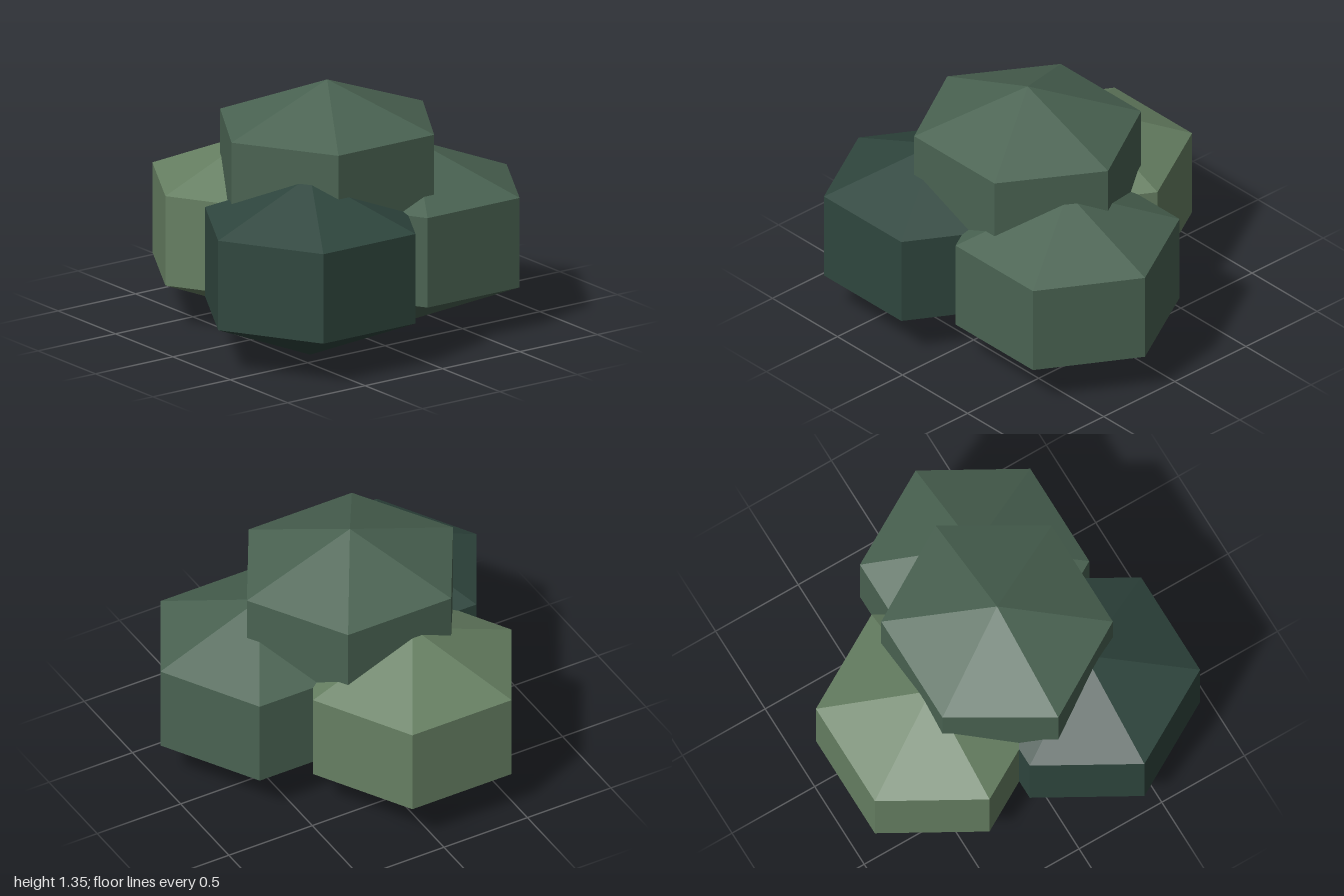
import * as THREE from 'three';

// Low-poly leaf clump: a six-sided, three-ring ball, squashed in height.
function clump(name, color, [x, y, z], [rx, ry, rz]) {
  const geometry = new THREE.SphereGeometry(1, 6, 3);
  // Ring radius of the ball is sin(60 deg), so divide to get the wanted hexagon size.
  const ring = Math.sin(Math.PI / 3);
  geometry.scale(rx / ring, ry, rz / ring);
  const mesh = new THREE.Mesh(
    geometry.toNonIndexed(),
    new THREE.MeshStandardMaterial({ color, flatShading: true })
  );
  mesh.geometry.computeVertexNormals();
  mesh.name = name;
  mesh.position.set(x, y, z);
  return mesh;
}

export function createModel() {
  const bush = new THREE.Group();
  bush.name = 'bush';

  // Three equal clumps on the ground
  const low = [0.595, 0.486, 0.595];
  bush.add(clump('rightClump', 0x2f463e, [-0.405, 0.486, 0.395], low));
  bush.add(clump('leftClump', 0x4a6352, [0.405, 0.486, 0.21], low));
  bush.add(clump('backClump', 0x667f62, [-0.16, 0.486, -0.395], low));

  // One slightly wider, flatter clump resting on top
  bush.add(clump('topClump', 0x4a6352, [-0.055, 0.89, 0.07], [0.618, 0.46, 0.595]));

  return bush;
}
